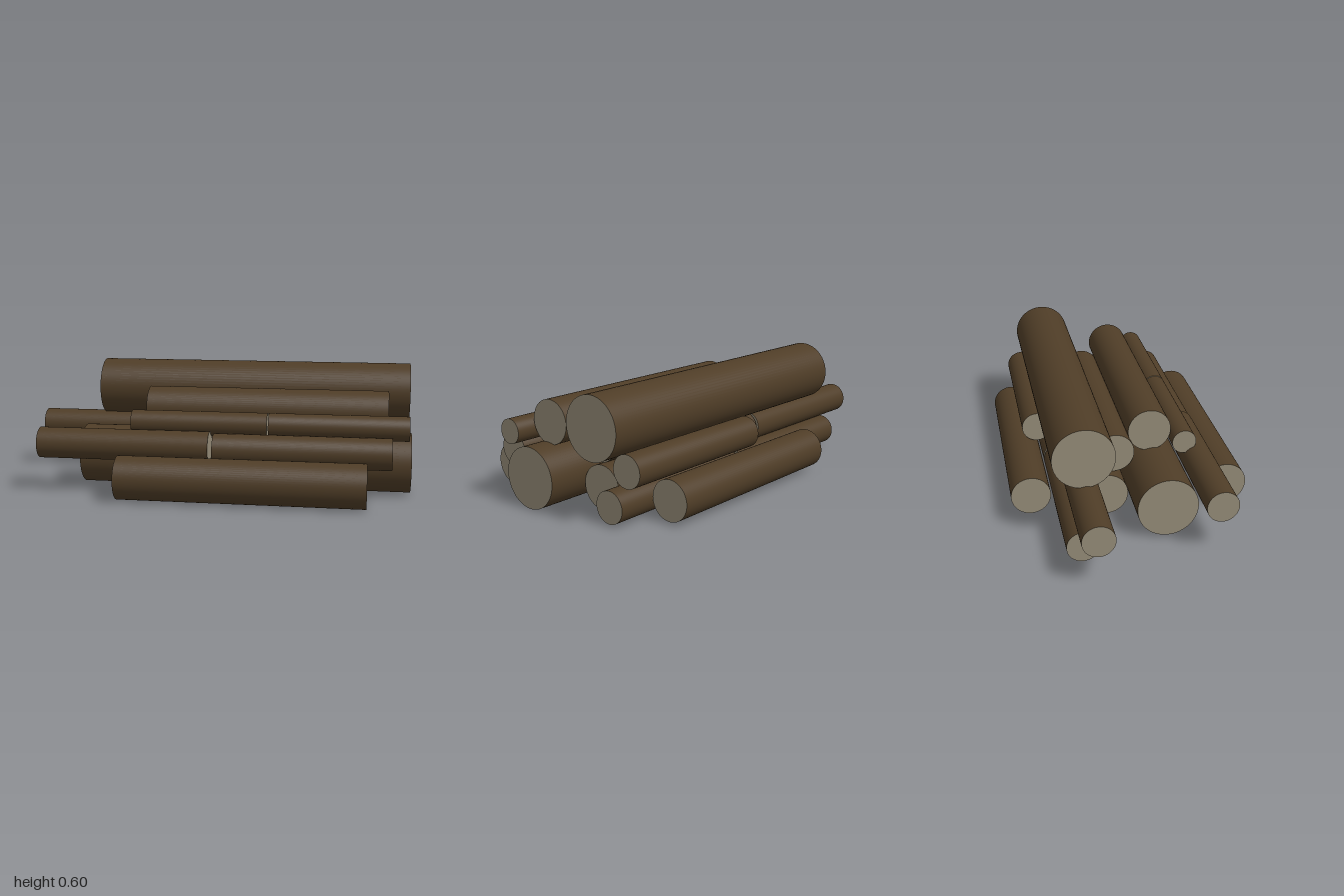
import * as THREE from 'three';

// A loose pile of sawn logs, all lying along x.
export function createModel() {
  const group = new THREE.Group();
  group.name = 'logPile';

  const bark = new THREE.MeshStandardMaterial({ color: 0x4f3d27 });
  const cutWood = new THREE.MeshStandardMaterial({ color: 0x948b77 });

  // One log from x0 to x1 with its axis at (y, z): bark side and two cut ends.
  function addLog(name, r, y, z, x0, x1) {
    const geometry = new THREE.CylinderGeometry(r, r, x1 - x0, 64);
    geometry.rotateZ(-Math.PI / 2);
    const log = new THREE.Mesh(geometry, [bark, cutWood, cutWood]);
    log.name = name;
    log.position.set((x0 + x1) / 2, y, z);
    group.add(log);
  }

  // Thickness classes: radius, then logs as [y, z, x0, x1].
  const sizes = {
    thickLog: [0.148, [
      [0.455, -0.27, -0.655, 1],
      [0.155, 0.13, -0.655, 1],
    ]],
    mediumLog: [0.107, [
      [0.4, 0.108, -0.32, 0.885],
      [0.11, 0.481, -0.405, 0.79],
      [0.11, -0.122, -0.405, 0.79],
    ]],
    shortLog: [0.098, [
      [0.309, -0.073, -0.355, 0.745],
      [0.113, -0.49, -0.355, 0.745],
    ]],
    thinLog: [0.077, [
      [0.237, -0.261, -1, -0.14],
      [0.237, -0.261, -0.125, 0.735],
      [0.274, -0.408, 0.07, 0.93],
      [0.092, -0.302, -0.81, 0.05],
      [0.09, -0.302, 0.07, 0.93],
      [0.244, 0.343, -0.835, 0.025],
      [0.236, 0.343, 0.045, 0.905],
    ]],
    branchLog: [0.06, [
      [0.349, 0.272, -0.375, 0.302],
      [0.349, 0.272, 0.308, 0.985],
    ]],
  };

  for (const [name, [radius, logs]] of Object.entries(sizes)) {
    logs.forEach((log, i) => addLog(`${name}${i + 1}`, radius, ...log));
  }
  return group;
}
